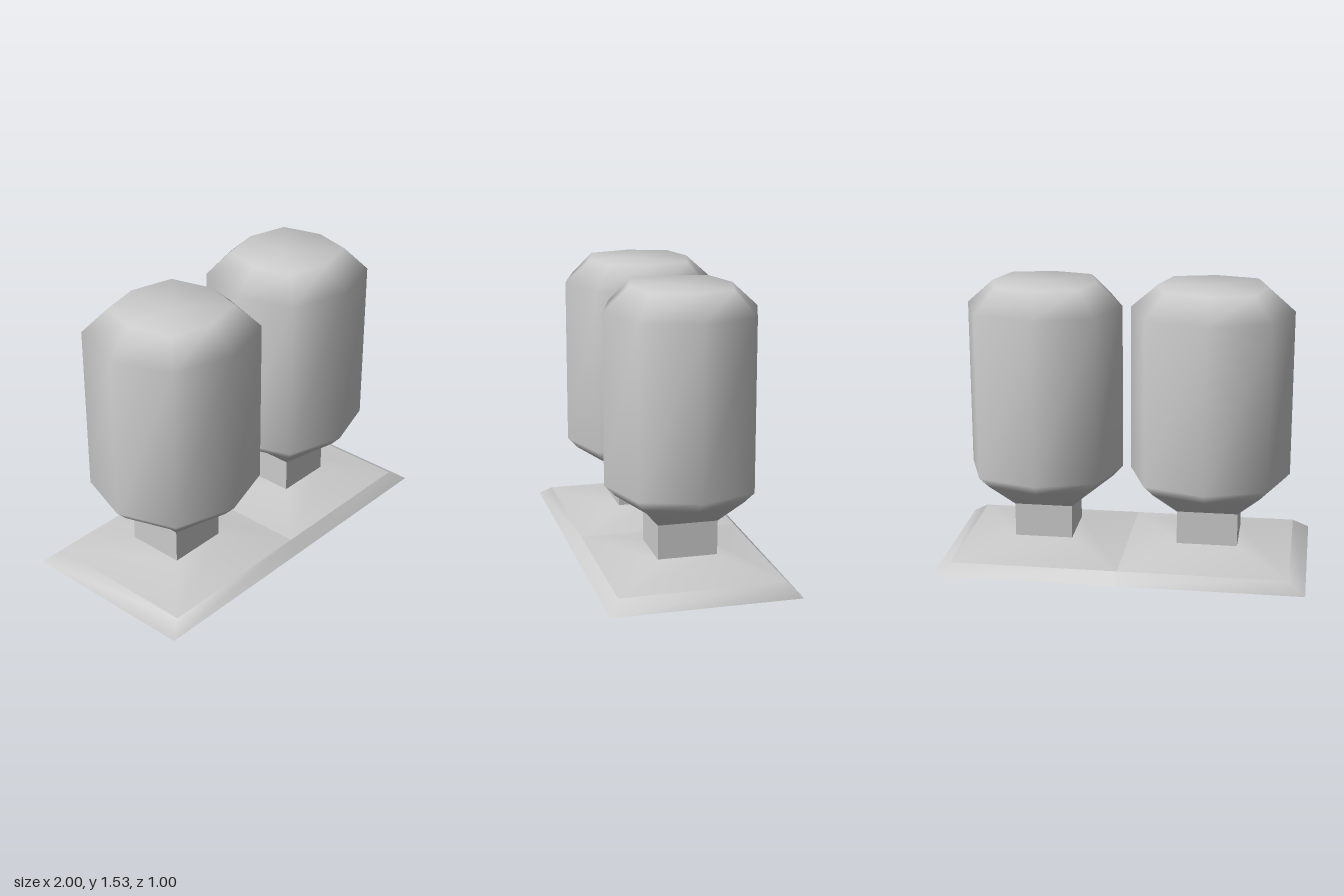
import * as THREE from 'three';
import { toCreasedNormals } from 'three/addons/utils/BufferGeometryUtils.js';

const material = new THREE.MeshStandardMaterial({ color: 0xcccccc, side: THREE.DoubleSide });

// Skins rings of points (listed bottom to top); an open loft leaves out the last side.
function loft(rings, { closed = true, cap = false } = {}) {
  const n = rings[0].length;
  const positions = rings.flat(2);
  const index = [];
  for (let r = 0; r < rings.length - 1; r++) {
    for (let i = 0; i < (closed ? n : n - 1); i++) {
      const j = (i + 1) % n;
      const a = r * n + i, b = r * n + j, c = a + n, d = b + n;
      index.push(a, c, b, b, c, d);
    }
  }
  if (cap) {
    const top = rings[rings.length - 1];
    const mid = [0, 1, 2].map((k) => top.reduce((sum, p) => sum + p[k], 0) / n);
    const first = (rings.length - 1) * n;
    positions.push(...mid);
    for (let i = 0; i < n; i++) index.push(first + i, rings.length * n, first + ((i + 1) % n));
  }
  const geometry = new THREE.BufferGeometry();
  geometry.setAttribute('position', new THREE.Float32BufferAttribute(positions, 3));
  geometry.setIndex(index);
  geometry.computeVertexNormals();
  return geometry;
}

// Four corners of a rectangle, starting at the inner back corner.
const rect = (x0, x1, z, y) => [[x0, y, -z], [x1, y, -z], [x1, y, z], [x0, y, z]];

// Eight points: four on the axes, four on the diagonals.
function octagon(cx, y, rx, rz, diagonal) {
  return Array.from({ length: 8 }, (_, i) => {
    const a = (i * Math.PI) / 4;
    const k = i % 2 ? diagonal * Math.SQRT2 : 1;
    return [cx + rx * k * Math.cos(a), y, rz * k * Math.sin(a)];
  });
}

function part(name, geometry) {
  const mesh = new THREE.Mesh(geometry, material);
  mesh.name = name;
  return mesh;
}

// One half of the model: plate, neck and bulb, standing on the +x side.
function createHalf(name, neckX, neckR, bulbX, scale) {
  const half = new THREE.Group();
  half.name = name;
  const neckZ = 0.16;
  const neckRect = (y) => rect(neckX - neckR, neckX + neckR, neckZ, y);

  // Plate: bevelled skirt on three sides, then a shallow slope up to the neck
  half.add(part('plateSkirt', loft([rect(0, 1, 0.5, 0), rect(0, 0.91, 0.44, 0.06)], { closed: false })));
  half.add(part('plateSlope', loft([rect(0, 0.91, 0.44, 0.06), neckRect(0.125)])));

  // Neck: square tube, open at both ends
  half.add(part('neck', toCreasedNormals(loft([neckRect(0.125), neckRect(0.31)]), 0.5)));

  // Bulb: flares from the square neck to an eight-sided body with a chamfered top
  const ring = (y, rx, rz, diagonal) => octagon(bulbX, y, rx * scale, rz * scale, diagonal);
  half.add(part('bulb', loft([
    octagon(neckX, 0.31, neckR, neckZ, 1),
    ring(0.44, 0.378, 0.363, 0.75),
    ring(0.5, 0.437, 0.42, 0.75),
    ring(1.405, 0.437, 0.42, 0.75),
    ring(1.53, 0.292, 0.28, 0.79),
  ], { cap: true })));
  return half;
}

export function createModel() {
  const model = new THREE.Group();
  model.name = 'twinBulbs';
  const left = createHalf('leftHalf', 0.448, 0.158, 0.452, 0.968);
  const right = createHalf('rightHalf', 0.455, 0.165, 0.453, 1);
  right.rotation.y = Math.PI;
  model.add(left, right);
  return model;
}
